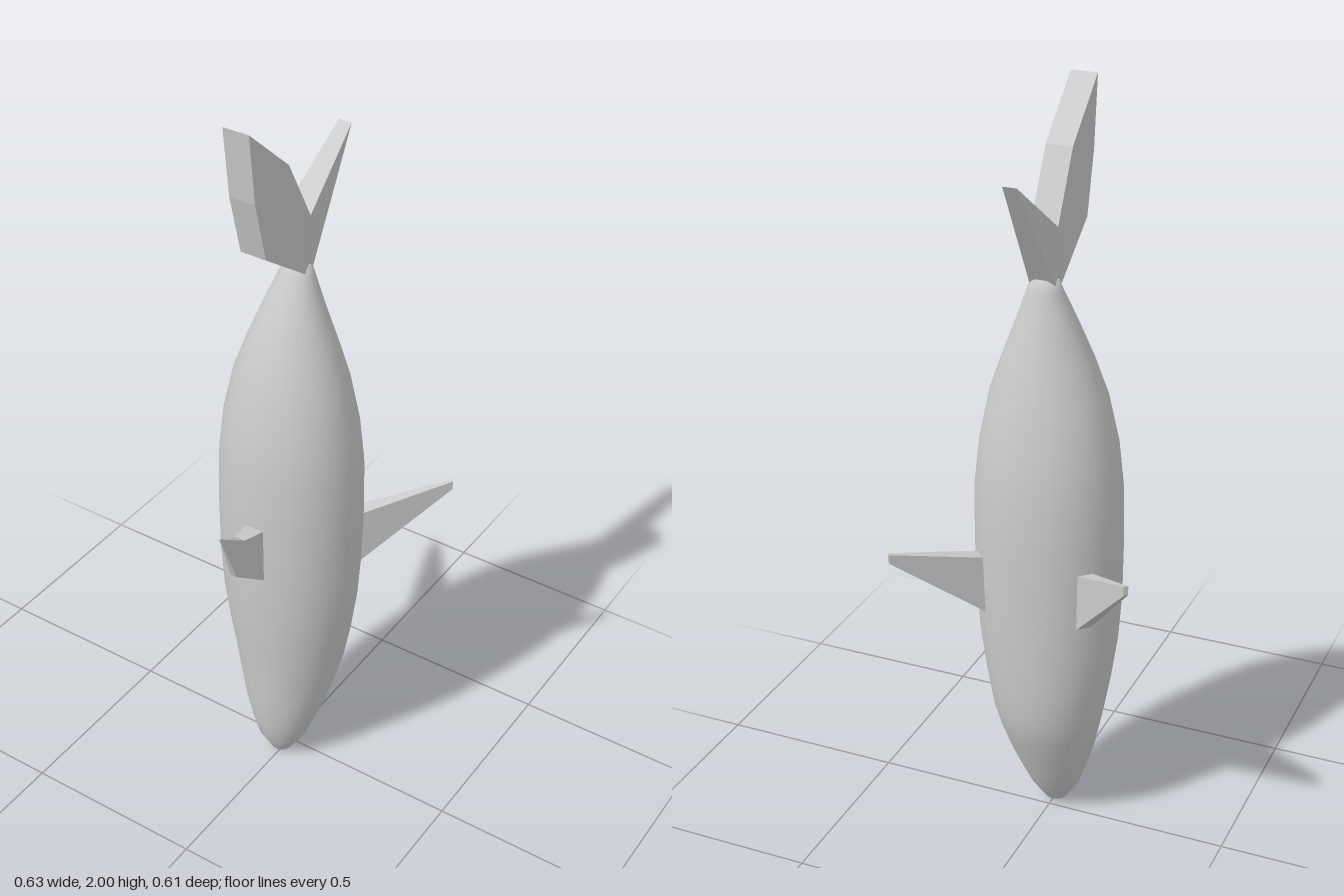
import * as THREE from 'three';

const material = new THREE.MeshStandardMaterial({ color: 0xcccccc });
const flatMaterial = new THREE.MeshStandardMaterial({ color: 0xcccccc, flatShading: true });
const CX = -0.005; // the body's middle plane

// Body sections from nose to tail: height, half width, front z, back z
const sections = [
  [0, 0.001, 0.037, 0.035], [0.012, 0.03, 0.065, 0.01], [0.07, 0.068, 0.095, -0.03],
  [0.13, 0.09, 0.108, -0.062], [0.2, 0.114, 0.118, -0.095], [0.28, 0.134, 0.125, -0.13],
  [0.35, 0.15, 0.13, -0.153], [0.45, 0.168, 0.14, -0.163], [0.57, 0.185, 0.15, -0.17],
  [0.7, 0.194, 0.155, -0.175], [0.85, 0.196, 0.157, -0.18], [1.0, 0.193, 0.155, -0.18],
  [1.12, 0.18, 0.143, -0.167], [1.25, 0.152, 0.116, -0.143], [1.35, 0.116, 0.086, -0.12],
  [1.45, 0.076, 0.045, -0.094], [1.53, 0.045, 0.003, -0.075], [1.56, 0.034, -0.008, -0.066],
  [1.562, 0.001, -0.036, -0.038],
];

// Lofts elliptical rings into a closed smooth body
function bodyGeometry(sides = 30) {
  const positions = [], index = [];
  sections.forEach(([y, rx, front, back], r) => {
    for (let i = 0; i < sides; i++) {
      const a = (i / sides) * Math.PI * 2;
      positions.push(CX + rx * Math.cos(a), y, (front + back) / 2 + ((front - back) / 2) * Math.sin(a));
      if (r === sections.length - 1) continue;
      const p = r * sides + i, q = r * sides + ((i + 1) % sides);
      index.push(p, p + sides, q, q, p + sides, q + sides);
    }
  });
  const g = new THREE.BufferGeometry();
  g.setAttribute('position', new THREE.Float32BufferAttribute(positions, 3));
  g.setIndex(index);
  g.computeVertexNormals();
  return g;
}

// Extrudes a (z, y) outline across x, with a half thickness that depends on z
function bladeGeometry(outline, halfThickness) {
  const shape = new THREE.Shape(outline.map(([z, y]) => new THREE.Vector2(z, y)));
  const g = new THREE.ExtrudeGeometry(shape, { depth: 2, bevelEnabled: false });
  g.translate(0, 0, -1).rotateY(-Math.PI / 2);
  const p = g.attributes.position;
  for (let i = 0; i < p.count; i++) p.setX(i, CX + Math.sign(p.getX(i)) * halfThickness(p.getZ(i)));
  g.computeVertexNormals();
  return g;
}

// Tapers a unit box from a root block to a narrow tip
function sideFinGeometry(side, tipY, tipZ) {
  const g = new THREE.BoxGeometry(1, 1, 1);
  const p = g.attributes.position;
  const root = new THREE.Vector3(0.135, 0.735, -0.115);
  const tip = new THREE.Vector3(0.31, tipY, tipZ);
  const across = new THREE.Vector3(0.7, 0, 0.7);
  for (let i = 0; i < p.count; i++) {
    const atTip = p.getX(i) > 0;
    const v = (atTip ? tip : root).clone();
    v.addScaledVector(across, -p.getZ(i) * (atTip ? 0.012 : 0.042) * -1);
    v.y += p.getY(i) * (atTip ? 0.025 : 0.16);
    p.setXYZ(i, v.x * side + (side < 0 ? CX : 0), v.y, v.z);
  }
  // Mirroring flips the winding, so swap it back
  if (side < 0) {
    const idx = g.index;
    for (let i = 0; i < idx.count; i += 3) {
      const a = idx.getX(i);
      idx.setX(i, idx.getX(i + 1));
      idx.setX(i + 1, a);
    }
  }
  g.computeVertexNormals();
  return g;
}

export function createModel() {
  const model = new THREE.Group();
  const add = (name, geometry, mat = flatMaterial) => {
    const mesh = new THREE.Mesh(geometry, mat);
    mesh.name = name;
    model.add(mesh);
  };

  add('body', bodyGeometry(), material);

  // Forked tail, with the smaller lobe thinning towards its tip
  add('tailFin', bladeGeometry(
    [[-0.05, 1.54], [-0.24, 1.84], [-0.04, 1.69], [0.05, 1.86], [0.205, 2.0],
      [0.185, 1.82], [0.145, 1.66], [-0.02, 1.54]],
    (z) => (z > -0.04 ? 0.035 : 0.035 + (z + 0.04) * 0.085),
  ));

  // Dorsal fin, tapering to a point
  add('dorsalFin', bladeGeometry(
    [[0.1, 0.71], [0.1, 0.87], [0.155, 0.87], [0.22, 0.88], [0.305, 0.935], [0.25, 0.78], [0.155, 0.71]],
    (z) => 0.026 * Math.min(1, Math.max(0.02, (0.305 - z) / 0.15)),
  ));

  // Pair of side fins, swept backwards
  add('leftSideFin', sideFinGeometry(1, 0.857, -0.298));
  add('rightSideFin', sideFinGeometry(-1, 0.89, -0.275));
  return model;
}
